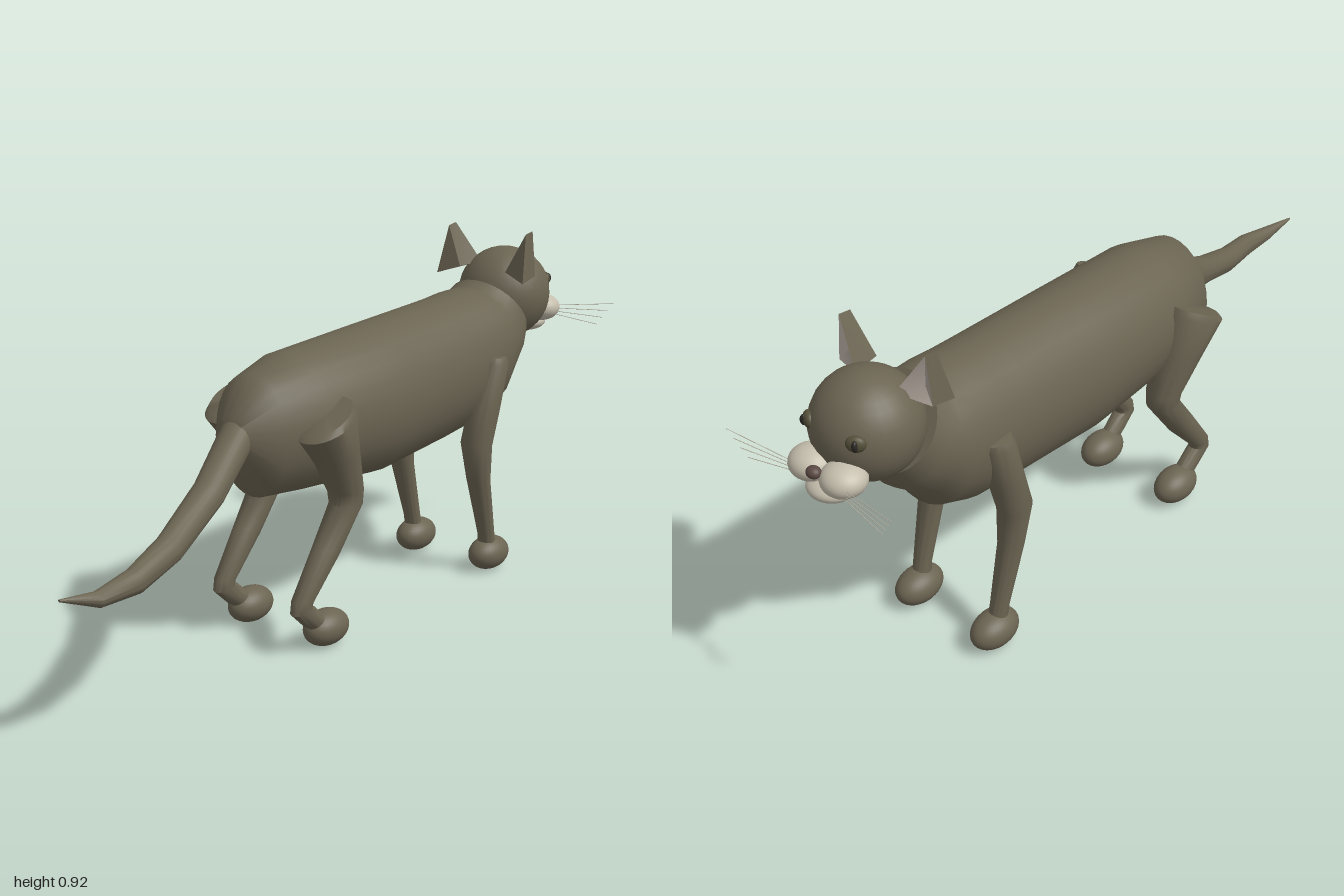
import * as THREE from 'three';
import { toCreasedNormals } from 'three/addons/utils/BufferGeometryUtils.js';

const mat = (name, color, extra = {}) => {
  const m = new THREE.MeshStandardMaterial({ color, ...extra });
  m.name = name;
  return m;
};

// Skin through elliptical rings [za, ya, zb, yb, halfWidth, x]: a and b are opposite ends of each ring.
function loft(rings, offset = 0, side = 1, seg = 28) {
  const pos = [], idx = [];
  for (const [za, ya, zb, yb, w, x = 0] of rings) {
    for (let i = 0; i < seg; i++) {
      const t = (i / seg) * Math.PI * 2, c = Math.cos(t) / 2;
      pos.push(side * (x + offset) + w * Math.sin(t), (ya + yb) / 2 + (ya - yb) * c, (za + zb) / 2 + (za - zb) * c);
    }
  }
  for (let r = 0; r < rings.length - 1; r++) {
    for (let i = 0; i < seg; i++) {
      const a = r * seg + i, b = r * seg + (i + 1) % seg;
      idx.push(a, b, b + seg, a, b + seg, a + seg);
    }
  }
  // end caps
  [0, rings.length - 1].forEach((r, end) => {
    const [za, ya, zb, yb, , x = 0] = rings[r], c = pos.length / 3;
    pos.push(side * (x + offset), (ya + yb) / 2, (za + zb) / 2);
    for (let i = 0; i < seg; i++) {
      const a = r * seg + i, b = r * seg + (i + 1) % seg;
      idx.push(c, end ? a : b, end ? b : a);
    }
  });
  const g = new THREE.BufferGeometry();
  g.setAttribute('position', new THREE.Float32BufferAttribute(pos, 3));
  g.setIndex(idx);
  return toCreasedNormals(g, 0.8);
}

function polygons(points, faces) {
  const g = new THREE.BufferGeometry();
  g.setAttribute('position', new THREE.Float32BufferAttribute(points.flat(), 3));
  g.setIndex(faces.flat());
  return toCreasedNormals(g, 0.8);
}

export function createModel() {
  const cat = new THREE.Group();
  const fur = mat('fur', 0x6b6452);
  const furOpen = mat('earFur', 0x6b6452, { side: THREE.DoubleSide });
  const pale = mat('paleMuzzle', 0xc4bdac);
  const inner = mat('innerEar', 0xaca198, { side: THREE.DoubleSide });
  const iris = mat('iris', 0x55503a);
  const dark = mat('dark', 0x2a2723);
  const noseMat = mat('nose', 0x5a4842);

  const add = (name, geo, m) => {
    const mesh = new THREE.Mesh(geo, m);
    mesh.name = name;
    cat.add(mesh);
    return mesh;
  };
  const ball = (name, m, p, s) => {
    const b = add(name, new THREE.SphereGeometry(1, 28, 18), m);
    b.position.set(...p);
    b.scale.set(...s);
    return b;
  };

  // Body and neck, rump to throat
  add('body', loft([
    [0.335, 0.605, 0.335, 0.505, 0.045],
    [0.257, 0.697, 0.257, 0.39, 0.115],
    [0.13, 0.727, 0.12, 0.378, 0.155],
    [-0.17, 0.745, -0.17, 0.355, 0.16],
    [-0.44, 0.76, -0.45, 0.38, 0.155],
    [-0.52, 0.765, -0.6, 0.398, 0.153],
    [-0.58, 0.77, -0.685, 0.435, 0.15],
    [-0.635, 0.768, -0.72, 0.49, 0.142],
    [-0.645, 0.77, -0.785, 0.545, 0.13],
    [-0.67, 0.785, -0.815, 0.6, 0.118],
  ]), fur);

  // Tail, curving to one side
  add('tail', loft([
    [0.31, 0.5, 0.31, 0.61, 0.05, 0],
    [0.46, 0.437, 0.5, 0.5, 0.042, 0.065],
    [0.647, 0.364, 0.68, 0.427, 0.035, 0.115],
    [0.797, 0.337, 0.81, 0.397, 0.028, 0.147],
    [0.91, 0.338, 0.915, 0.376, 0.019, 0.147],
    [1.0, 0.372, 1.0, 0.378, 0.003, 0.125],
  ]), fur);

  // Head, chin and nose
  ball('head', fur, [0, 0.731, -0.815], [0.128, 0.129, 0.128]);
  ball('chin', pale, [0, 0.632, -0.927], [0.06, 0.028, 0.058]);
  ball('nose', noseMat, [0, 0.692, -0.976], [0.018, 0.014, 0.016]);

  for (const s of [-1, 1]) {
    const side = s > 0 ? 'left' : 'right';

    // Front leg, shoulder to wrist
    add(side + 'FrontLeg', loft([
      [-0.602, 0.606, -0.53, 0.612, 0.032, 0.14],
      [-0.605, 0.59, -0.522, 0.595, 0.04, 0.14],
      [-0.578, 0.47, -0.49, 0.48, 0.043, 0.133],
      [-0.548, 0.37, -0.464, 0.385, 0.043, 0.13],
      [-0.552, 0.27, -0.49, 0.28, 0.034, 0.129],
      [-0.59, 0.11, -0.545, 0.11, 0.024, 0.127],
      [-0.605, 0.05, -0.555, 0.05, 0.024, 0.125],
    ], 0, s), fur);
    ball(side + 'FrontPaw', fur, [s * 0.125, 0.046, -0.587], [0.048, 0.046, 0.07]);

    // Hind leg, haunch to hock to foot
    add(side + 'HindLeg', loft([
      [0.085, 0.63, 0.225, 0.56, 0.062, 0.145],
      [0.073, 0.61, 0.235, 0.545, 0.07, 0.146],
      [0.05, 0.51, 0.17, 0.47, 0.058, 0.14],
      [0.016, 0.39, 0.105, 0.385, 0.046, 0.131],
      [0.016, 0.35, 0.1, 0.355, 0.042, 0.13],
      [0.1, 0.235, 0.17, 0.26, 0.034, 0.129],
      [0.193, 0.135, 0.25, 0.145, 0.026, 0.127],
      [0.195, 0.125, 0.256, 0.112, 0.025, 0.127],
      [0.18, 0.117, 0.21, 0.07, 0.024, 0.126],
      [0.14, 0.08, 0.15, 0.03, 0.024, 0.125],
    ], 0, s), fur);
    ball(side + 'HindPaw', fur, [s * 0.125, 0.046, 0.128], [0.048, 0.046, 0.07]);

    // Ear: cupped shell with a pale front
    const tip = [s * 0.127, 0.922, -0.755], tipBack = [s * 0.127, 0.917, -0.722];
    const inFront = [s * 0.058, 0.815, -0.785], outFront = [s * 0.14, 0.8, -0.755];
    const inBack = [s * 0.075, 0.81, -0.705], outBack = [s * 0.142, 0.787, -0.69];
    add(side + 'Ear', polygons([tip, tipBack, inFront, outFront, inBack, outBack],
      [[0, 2, 4], [0, 4, 1], [1, 4, 5], [1, 5, 3], [1, 3, 0], [2, 3, 5], [2, 5, 4]]), furOpen);
    add(side + 'InnerEar', polygons([tip, inFront, outFront, [s * 0.112, 0.835, -0.745]],
      [[0, 1, 3], [0, 3, 2], [1, 2, 3]]), inner);

    // Eye with upright pupil
    const eye = ball(side + 'Eye', iris, [s * 0.07, 0.762, -0.914], [0.023, 0.02, 0.014]);
    eye.rotation.y = s * -0.6;
    const pupil = ball(side + 'Pupil', dark, [s * 0.076, 0.763, -0.923], [0.007, 0.014, 0.009]);
    pupil.rotation.y = s * -0.6;

    // Muzzle pad and whiskers
    ball(side + 'MuzzlePad', pale, [s * 0.048, 0.675, -0.937], [0.053, 0.038, 0.052]);
    for (let i = 0; i < 4; i++) {
      const a = new THREE.Vector3(s * 0.07, 0.677 - i * 0.008, -0.965);
      const b = new THREE.Vector3(s * (0.25 - i * 0.015), 0.7 - i * 0.021, -0.996 + i * 0.004);
      add(side + 'Whisker' + (i + 1), new THREE.TubeGeometry(new THREE.LineCurve3(a, b), 1, 0.0009, 5), pale);
    }
  }
  return cat;
}
